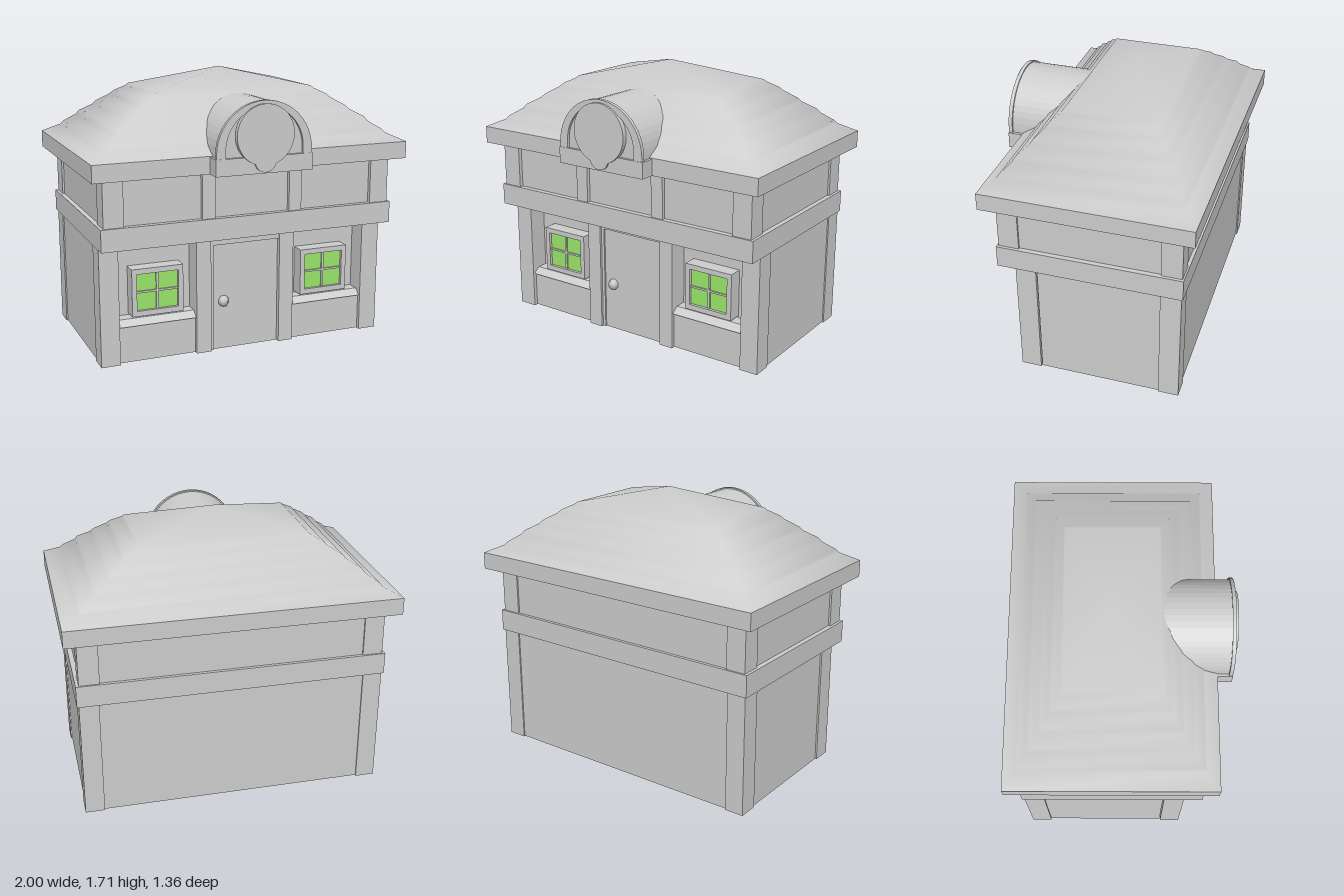
import * as THREE from 'three';

const gray = new THREE.MeshStandardMaterial({ color: 0xcccccc });
gray.name = 'light gray';
const green = new THREE.MeshStandardMaterial({ color: 0x9be76a });
green.name = 'window green';

export function createModel() {
  const model = new THREE.Group();

  const add = (name, geometry, material = gray) => {
    const mesh = new THREE.Mesh(geometry, material);
    mesh.name = name;
    model.add(mesh);
    return mesh;
  };
  // Box given by its extents on each axis
  const box = (name, x0, x1, y0, y1, z0, z1, material) => {
    const g = new THREE.BoxGeometry(x1 - x0, y1 - y0, z1 - z0);
    g.translate((x0 + x1) / 2, (y0 + y1) / 2, (z0 + z1) / 2);
    return add(name, g, material);
  };
  const extrude = (shape, z0, z1, segments = 8) => new THREE.ExtrudeGeometry(shape, {
    depth: z1 - z0, bevelEnabled: false, curveSegments: segments,
  }).translate(0, 0, z0);

  // Walls and bands
  box('lowerWalls', -0.92, 0.92, 0.003, 0.75, -0.592, 0.27);
  box('middleBand', -0.94, 0.94, 0.74, 0.875, -0.61, 0.51);
  box('upperWalls', -0.91, 0.91, 0.87, 1.17, -0.59, 0.475);
  box('eave', -1, 1, 1.16, 1.265, -0.68, 0.578);

  // Corner posts and the posts beside the door
  for (const s of [-1, 1]) {
    const post = (name, a, b, y0, y1, z0, z1) =>
      box(name, Math.min(s * a, s * b), Math.max(s * a, s * b), y0, y1, z0, z1);
    post('lowerFrontPost', 0.81, 0.928, 0, 0.745, 0.275, 0.4);
    post('lowerBackPost', 0.81, 0.928, 0, 0.745, -0.6, -0.475);
    post('doorPost', 0.228, 0.323, 0, 0.745, 0.25, 0.4);
    post('upperFrontPost', 0.8, 0.922, 0.87, 1.165, 0.375, 0.5);
    post('upperBackPost', 0.8, 0.922, 0.87, 1.165, -0.6, -0.475);
    post('upperMiddlePost', 0.24, 0.322, 0.87, 1.165, 0.45, 0.5);

    // Low wall under the window with a sloping sill
    post('lowFrontWall', 0.32, 0.815, 0.002, 0.23, 0.26, 0.375);
    const sill = new THREE.Shape([[0.26, 0.23], [0.39, 0.23], [0.345, 0.265], [0.26, 0.265]]
      .map(([z, y]) => new THREE.Vector2(-z, y)));
    const sillGeometry = extrude(sill, 0, 0.49).rotateY(Math.PI / 2);
    add('windowSill', sillGeometry.translate(s * 0.567 - 0.245, 0, 0));

    // Window: frame, panes and crossed bars
    const cx = s * 0.557, cy = 0.425;
    const rect = (C, w, h) => new C([[-w, -h], [w, -h], [w, h], [-w, h]]
      .map(([x, y]) => new THREE.Vector2(cx + x, cy + y)));
    const frame = rect(THREE.Shape, 0.162, 0.148);
    frame.holes.push(rect(THREE.Path, 0.131, 0.115));
    add('windowFrame', extrude(frame, 0.265, 0.362));
    box('windowPanes', cx - 0.133, cx + 0.133, cy - 0.117, cy + 0.117, 0.335, 0.343, green);
    box('windowUprightBar', cx - 0.007, cx + 0.007, cy - 0.116, cy + 0.116, 0.34, 0.352);
    box('windowCrossBar', cx - 0.132, cx + 0.132, cy - 0.006, cy + 0.006, 0.34, 0.352);
  }

  // Door, lintel and knob
  box('door', -0.21, 0.225, 0.002, 0.675, 0.26, 0.375);
  box('doorJamb', -0.232, -0.208, 0.002, 0.74, 0.26, 0.385);
  box('lintel', -0.23, 0.23, 0.675, 0.745, 0.26, 0.388);
  add('doorKnob', new THREE.SphereGeometry(0.036, 6, 5)).position.set(-0.14, 0.312, 0.382);

  // Stepped hip roof: rings of half width, half depth and height, closed by a peak
  const rings = [
    [1, 0.628, 1.265], [0.895, 0.548, 1.315], [0.88, 0.535, 1.335],
    [0.805, 0.483, 1.385], [0.788, 0.468, 1.41], [0.71, 0.413, 1.455],
    [0.69, 0.398, 1.478], [0.61, 0.35, 1.525], [0.592, 0.335, 1.545],
    [0.525, 0.29, 1.58], [0.508, 0.278, 1.595],
  ];
  const roofZ = -0.05;
  const points = [], faces = [];
  for (const [w, d, y] of rings) {
    for (const [sx, sz] of [[-1, 1], [1, 1], [1, -1], [-1, -1]]) points.push(sx * w, y, roofZ + sz * d);
  }
  points.push(0, 1.71, roofZ);
  const peak = rings.length * 4;
  for (let r = 0; r < rings.length; r++) {
    for (let i = 0; i < 4; i++) {
      const a = r * 4 + i, b = r * 4 + (i + 1) % 4;
      if (r === rings.length - 1) faces.push(a, b, peak);
      else faces.push(a, b, b + 4, a, b + 4, a + 4);
    }
  }
  const roof = new THREE.BufferGeometry();
  roof.setAttribute('position', new THREE.Float32BufferAttribute(points, 3));
  roof.setIndex(faces);
  roof.computeVertexNormals();
  add('roof', roof);

  // Arched dormer with a raised rim and a base block
  const arch = (C, r, y0, top) => {
    const c = new C();
    c.moveTo(-r, y0);
    c.lineTo(r, y0);
    c.lineTo(r, top - r);
    c.absarc(0, top - r, r, 0, Math.PI, false);
    c.lineTo(-r, y0);
    return c;
  };
  add('dormer', extrude(arch(THREE.Shape, 0.287, 1.17, 1.575), 0.1, 0.652, 12));
  const rim = arch(THREE.Shape, 0.3, 1.2, 1.583);
  rim.holes.push(arch(THREE.Path, 0.243, 1.25, 1.547));
  add('dormerRim', extrude(rim, 0.645, 0.668, 12));
  box('dormerBase', -0.305, 0.305, 1.16, 1.26, 0.56, 0.67);

  // Round plaque with a short rounded neck
  const plaque = new THREE.Shape();
  plaque.absarc(0, 1.385, 0.18, -1.2, Math.PI + 1.2, false);
  plaque.absarc(0, 1.235, 0.067, Math.PI + 0.2, Math.PI * 2 - 0.2, false);
  add('roundPlaque', extrude(plaque, 0.64, 0.682, 20));

  return model;
}
